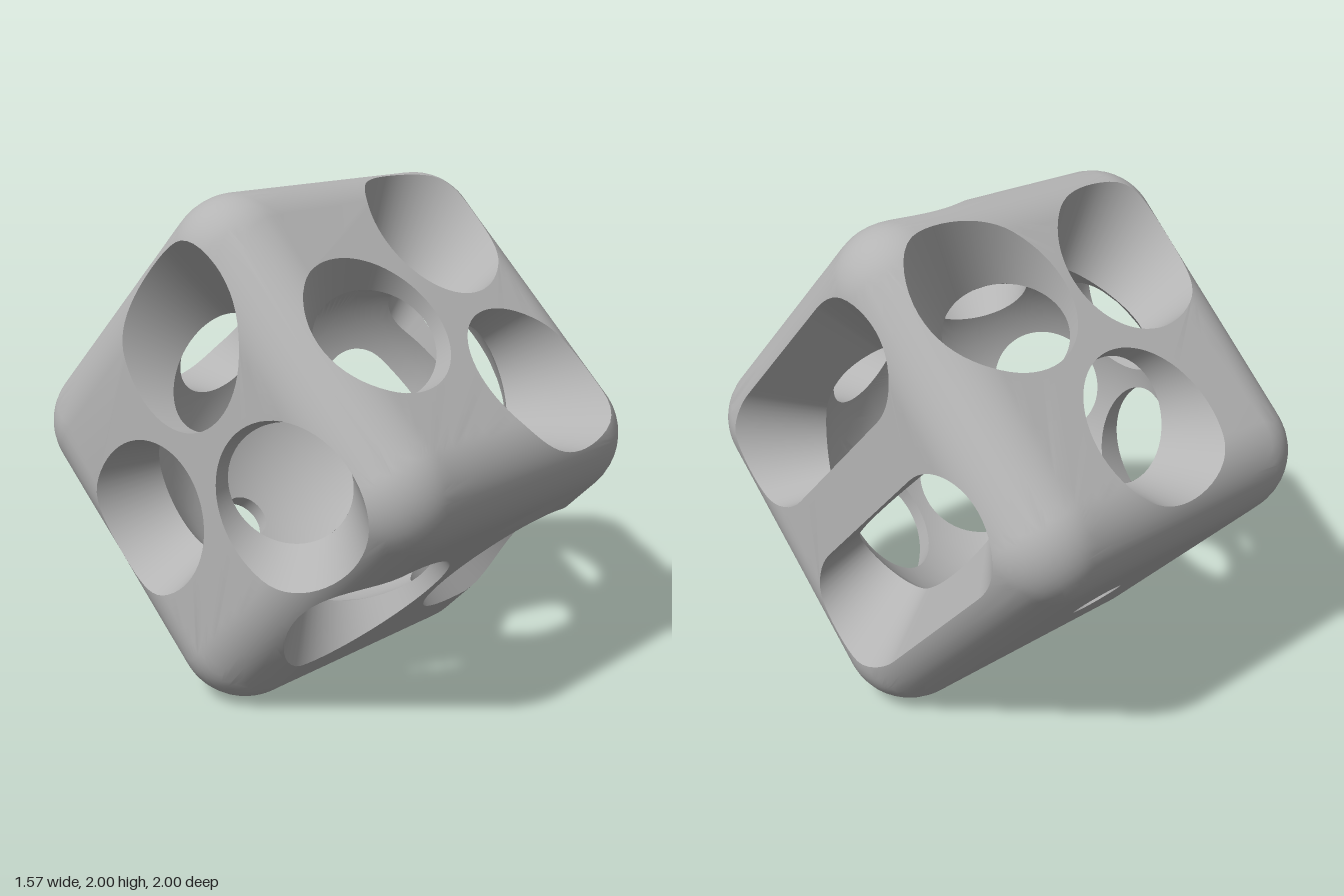
import * as THREE from 'three';

const H = 0.785;      // half size of the cube
const R = 0.268;      // edge rounding
const CAVITY = 0.72;  // radius of the hollow inside
const S = Math.SQRT1_2;
const V2 = (x, y) => new THREE.Vector2(x, y);
const V3 = (x, y, z) => new THREE.Vector3(x, y, z);

// Part of a point that reaches past the straight core of the cube
const past = (c) => Math.sign(c) * Math.max(Math.abs(c) - (H - R), 0);

// Vertex on the outer skin or on the cavity, along the ray through face point q
function vertex(q, inside) {
  const ray = V3(q.x, q.y, H);
  let s = CAVITY / ray.length();
  if (!inside) {
    let lo = 0.4, hi = 1.1;
    for (let i = 0; i < 24; i++) {
      s = (lo + hi) / 2;
      if (Math.hypot(past(q.x * s), past(q.y * s), past(H * s)) < R) lo = s; else hi = s;
    }
  }
  const p = ray.clone().multiplyScalar(s);
  const n = inside ? ray.normalize().negate() : V3(past(p.x), past(p.y), past(p.z)).normalize();
  return { q, s, p, n };
}

// Round hole: a cone from the cube's centre, drawn on the face plane
function cone(u, v, degrees) {
  const axis = V3(u, v, H).normalize(), a = THREE.MathUtils.degToRad(degrees);
  const e1 = V3(0, 1, 0).cross(axis).normalize(), e2 = axis.clone().cross(e1);
  return Array.from({ length: 60 }, (_, i) => {
    const t = (i / 60) * Math.PI * 2;
    const d = axis.clone().multiplyScalar(Math.cos(a))
      .addScaledVector(e1, Math.sin(a) * Math.cos(t))
      .addScaledVector(e2, Math.sin(a) * Math.sin(t));
    return V2((d.x / d.z) * H, (d.y / d.z) * H);
  });
}

// Long slot with round ends, running along v
function slot(u, half, r) {
  const pts = [];
  for (const side of [1, -1]) {
    for (let i = 0; i <= 24; i++) {
      const t = (Math.PI * i) / 24;
      pts.push(V2(u + side * r * Math.cos(t), side * (half + r * Math.sin(t))));
    }
    for (let i = 1; i < 10; i++) pts.push(V2(u - side * r, side * half * (1 - i / 5)));
  }
  return pts;
}

// Halve the edge that strays furthest from the curved surface until all fit
function refine(tri, inside, out) {
  let worst = inside ? 0.004 : 0.0015, split = -1, middle;
  for (let i = 0; i < 3; i++) {
    const a = tri[i], b = tri[(i + 1) % 3];
    const mid = vertex(a.q.clone().add(b.q).multiplyScalar(0.5), inside);
    const gap = mid.s - (2 * a.s * b.s) / (a.s + b.s);
    if (gap > worst) { worst = gap; split = i; middle = mid; }
  }
  if (split < 0) { out.push(...tri); return; }
  const a = tri[split], b = tri[(split + 1) % 3], c = tri[(split + 2) % 3];
  refine([a, middle, c], inside, out);
  refine([middle, b, c], inside, out);
}

function toGeometry(vertices, basis) {
  const g = new THREE.BufferGeometry();
  const flat = (key) => new THREE.Float32BufferAttribute(vertices.flatMap((v) => v[key].toArray()), 3);
  g.setAttribute('position', flat('p'));
  g.setAttribute('normal', flat('n'));
  return g.applyMatrix4(basis);
}

// Outer skin or cavity skin of one side
function skin(outline, holes, basis, inside) {
  const all = [outline, ...holes].flat().map((q) => vertex(q, inside));
  const out = [];
  for (const [i, j, k] of THREE.ShapeUtils.triangulateShape(outline, holes)) {
    const a = all[i], b = all[j], c = all[k];
    const ccw = b.q.clone().sub(a.q).cross(c.q.clone().sub(a.q)) > 0;
    refine(ccw !== inside ? [a, b, c] : [a, c, b], inside, out);
  }
  return toGeometry(out, basis);
}

// Wall of one hole, from the outer skin to the cavity
function wall(loop, basis) {
  const count = loop.length;
  const outer = loop.map((q) => vertex(q, false));
  const inner = loop.map((q) => vertex(q, true));
  const normals = loop.map((q, i) => {
    const along = inner[(i + 1) % count].p.clone().sub(inner[(i + count - 1) % count].p);
    return inner[i].p.clone().cross(along).normalize();
  });
  const out = [];
  for (let i = 0; i < count; i++) {
    const j = (i + 1) % count;
    for (const [row, k] of [[outer, i], [outer, j], [inner, i], [outer, j], [inner, j], [inner, i]])
      out.push({ p: row[k].p, n: normals[k] });
  }
  return toGeometry(out, basis);
}

// Borders: a plain square, and ones bulging where the lower front holes wrap the edge
const square = [V2(-H, -H), V2(H, -H), V2(H, H), V2(-H, H)];
const B = 0.87, K = H / B;
const wide = [V2(-H, -H), V2(H, -H), V2(H, -0.24), V2(B, -0.11), V2(B, 0.11), V2(H, 0.24),
  V2(H, H), V2(-H, H), V2(-H, 0.24), V2(-B, 0.11), V2(-B, -0.11), V2(-H, -0.24)];
const notchTop = [V2(-H, -H), V2(H, -H), V2(H, H), V2(0.24, H), V2(0.11 * K, H * K),
  V2(-0.11 * K, H * K), V2(-0.24, H), V2(-H, H)];
const notchBottom = notchTop.map((p) => V2(p.x, -p.y)).reverse();

export function createModel() {
  const grey = new THREE.MeshStandardMaterial({ color: 0xb4b4b4 });
  grey.name = 'plain grey';
  const cube = new THREE.Group();
  cube.name = 'hollowCube';

  // Each side: name, outward normal, u axis, border, holes
  const X = V3(1, 0, 0);
  const three = () => [cone(0.262, 0.342, 19.5), cone(0.262, -0.342, 19.5), cone(-0.322, 0, 19.5)];
  const sides = [
    ['upperFront', V3(0, S, S), X, square, three()],
    ['upperBack', V3(0, S, -S), X, square,
      [cone(0, 0.33, 19.7), cone(0.319, -0.27, 19.5), cone(-0.319, -0.27, 19.5)]],
    ['lowerFront', V3(0, -S, S), X, wide, [cone(0.358, 0, 22), cone(-0.358, 0, 22)]],
    ['lowerBack', V3(0, -S, -S), X, square, [cone(0, 0, 8)]],
    ['leftSide', V3(1, 0, 0), V3(0, S, S), notchTop,
      [slot(0.375, 0.355, 0.253), slot(-0.375, 0.355, 0.253)]],
    ['rightSide', V3(-1, 0, 0), V3(0, S, S), notchBottom, three()],
  ];

  for (const [name, n, u, outline, holes] of sides) {
    const side = new THREE.Group();
    side.name = name;
    const basis = new THREE.Matrix4().makeBasis(u, n.clone().cross(u), n);
    const add = (part, geometry) => {
      const mesh = new THREE.Mesh(geometry, grey);
      mesh.name = name + part;
      side.add(mesh);
    };
    add('Skin', skin(outline, holes, basis, false));
    add('Cavity', skin(outline, holes, basis, true));
    holes.forEach((loop, i) => add('HoleWall' + (i + 1), wall(loop, basis)));
    cube.add(side);
  }
  cube.position.y = 1;
  const model = new THREE.Group();
  model.name = 'model';
  model.add(cube);
  return model;
}
